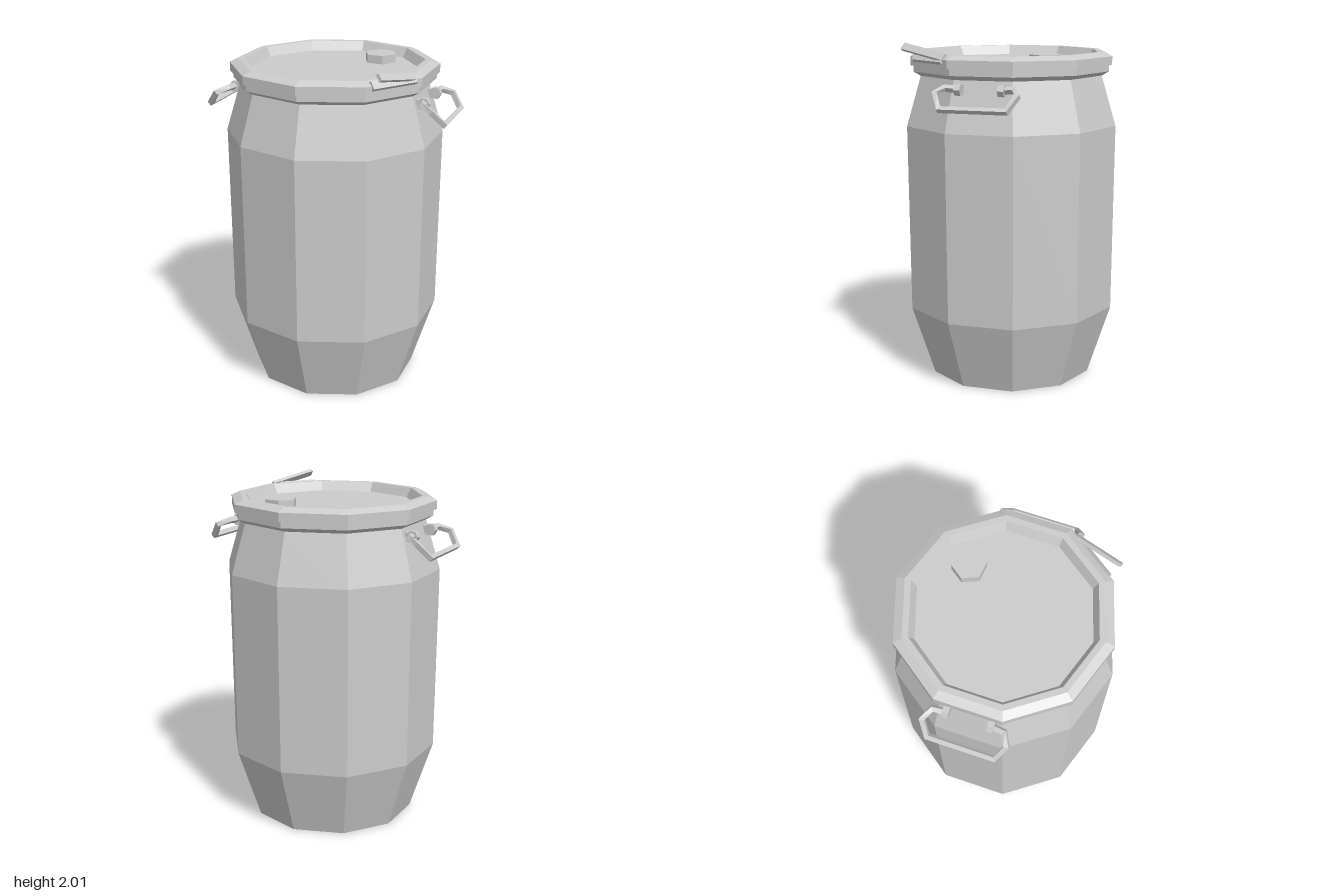
import * as THREE from 'three';

const grey = new THREE.MeshStandardMaterial({ color: 0xcccccc, flatShading: true });

function part(geometry, name) {
  const mesh = new THREE.Mesh(geometry, grey);
  mesh.name = name;
  return mesh;
}

// Ten-sided turned shape with corners on the x axis
function turned(profile, name) {
  const points = profile.map(([r, y]) => new THREE.Vector2(r, y));
  return part(new THREE.LatheGeometry(points, 10, Math.PI / 10), name);
}

// Rectangular bar swept along straight segments; h is measured along up, w across it
function bar(path, up, w, h, name) {
  const pts = path.map((p) => new THREE.Vector3(...p));
  const upV = new THREE.Vector3(...up).normalize();
  const pos = [], index = [], last = pts.length - 1;
  pts.forEach((p, i) => {
    const before = p.clone().sub(pts[Math.max(i - 1, 0)]).normalize();
    const after = pts[Math.min(i + 1, last)].clone().sub(p).normalize();
    const dir = before.add(after).normalize();
    const side = dir.clone().cross(upV).normalize();
    const top = side.clone().cross(dir).normalize();
    for (const [a, b] of [[1, 1], [-1, 1], [-1, -1], [1, -1]]) {
      const v = p.clone().addScaledVector(side, a * w / 2).addScaledVector(top, b * h / 2);
      pos.push(v.x, v.y, v.z);
    }
    if (i === last) return;
    for (let k = 0; k < 4; k++) {
      const a = i * 4 + k, b = i * 4 + (k + 1) % 4;
      index.push(a, a + 4, b, b, a + 4, b + 4);
    }
  });
  const e = last * 4;
  index.push(0, 1, 2, 0, 2, 3, e, e + 2, e + 1, e, e + 3, e + 2);
  const geo = new THREE.BufferGeometry();
  geo.setAttribute('position', new THREE.Float32BufferAttribute(pos, 3));
  geo.setIndex(index);
  geo.computeVertexNormals();
  return part(geo, name);
}

// Swinging carry handle with its two lugs, facing +z before it is turned
function handle(angle, name) {
  const group = new THREE.Group();
  group.name = name;
  const half = [[0.115, 1.765, 0.575], [0.2, 1.77, 0.585], [0.235, 1.745, 0.65], [0.19, 1.667, 0.71]];
  const mirrored = half.map(([x, y, z]) => [-x, y, z]).reverse();
  group.add(bar([...half, ...mirrored], [0, 0.75, 0.65], 0.03, 0.03, 'handleBar'));
  for (const s of [-1, 1]) {
    const lug = part(new THREE.CylinderGeometry(0.036, 0.036, 0.036, 6), 'handleLug');
    lug.rotation.z = Math.PI / 2;
    lug.position.set(s * 0.125, 1.763, 0.575);
    const foot = part(new THREE.BoxGeometry(0.036, 0.05, 0.06), 'lugFoot');
    foot.position.set(s * 0.125, 1.76, 0.545);
    group.add(lug, foot);
  }
  group.rotation.y = angle;
  return group;
}

export function createModel() {
  const model = new THREE.Group();
  model.name = 'barrel';

  // Body with tapered foot and shoulder
  model.add(turned([[0, 0], [0.49, 0], [0.627, 0.42], [0.637, 1.52], [0.55, 1.81], [0.55, 1.86]], 'body'));

  // Lower collar, clamp ring and sunken lid
  model.add(turned([[0.53, 1.81], [0.55, 1.81], [0.592, 1.835], [0.592, 1.875], [0.54, 1.875]], 'collar'));
  model.add(turned([[0.54, 1.872], [0.61, 1.872], [0.61, 1.922], [0.56, 1.945], [0.525, 1.945],
    [0.495, 1.89], [0, 1.89]], 'lid'));

  // Six-sided bung
  const bung = part(new THREE.CylinderGeometry(0.096, 0.096, 0.055, 6), 'bung');
  bung.rotation.y = Math.PI / 6;
  bung.position.set(0.33, 1.912, 0);
  model.add(bung);

  // Handles on opposite faces
  model.add(handle(Math.PI / 5, 'frontHandle'), handle(Math.PI * 1.2, 'backHandle'));

  // Clamp latch: plate on the ring and raised lever
  const lean = [0, 0.75, -0.65];
  model.add(bar([[-0.15, 1.92, 0.572], [0.143, 1.92, 0.572]], lean, 0.025, 0.05, 'latchPlate'));
  model.add(bar([[-0.155, 1.982, 0.645], [0.143, 1.932, 0.567]], lean, 0.02, 0.044, 'latchLever'));
  return model;
}
